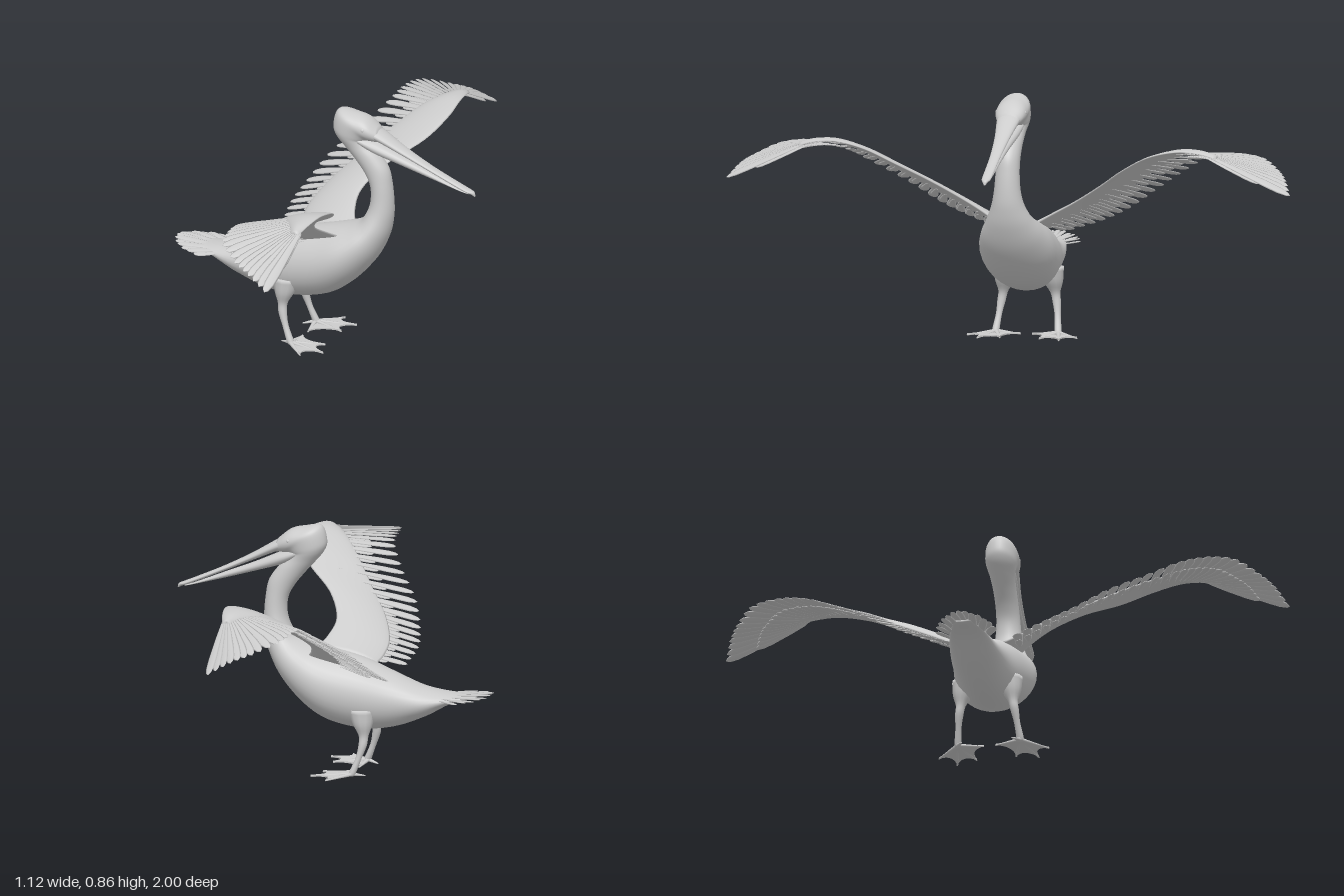
import * as THREE from 'three';

const grey = new THREE.MeshStandardMaterial({ color: 0xcccccc, side: THREE.DoubleSide });
const V = (x, y, z) => new THREE.Vector3(x, y, z);
const curve = (pts) => new THREE.CatmullRomCurve3(pts.map((p) => V(...p)), false, 'catmullrom', 0.5);

function add(parent, name, geometry) {
  const mesh = new THREE.Mesh(geometry, grey);
  mesh.name = name;
  parent.add(mesh);
  return mesh;
}

// Skin of elliptical rings: frame(u) gives centre c and half axes a, b
function loft(n, m, frame, camber = 0) {
  const pos = [], index = [];
  for (let i = -1; i <= n + 1; i++) {
    const { c, a, b } = frame(THREE.MathUtils.clamp(i / n, 0, 1));
    const k = i < 0 || i > n ? 0 : 1; // collapsed end rings close the shape
    for (let j = 0; j < m; j++) {
      const t = (j / m) * Math.PI * 2, s = Math.sin(t);
      const p = c.clone().addScaledVector(a, k * Math.cos(t)).addScaledVector(b, k * s);
      p.y += camber * s * s;
      pos.push(p.x, p.y, p.z);
    }
  }
  for (let i = 0; i < n + 2; i++) {
    for (let j = 0; j < m; j++) {
      const p = i * m + j, q = i * m + ((j + 1) % m);
      index.push(p, q, p + m, q, q + m, p + m);
    }
  }
  const g = new THREE.BufferGeometry();
  g.setAttribute('position', new THREE.Float32BufferAttribute(pos, 3));
  g.setIndex(index);
  g.computeVertexNormals();
  return g;
}

// Rows of [topX, topY, bottomX, bottomY, halfWidth], symmetric about z = 0
function sideLoft(rows, n, m) {
  const top = curve(rows.map((r) => [r[0], r[1], r[4]]));
  const bottom = curve(rows.map((r) => [r[2], r[3], r[4]]));
  return loft(n, m, (u) => {
    const p = top.getPoint(u), q = bottom.getPoint(u), w = p.z;
    p.z = q.z = 0;
    return { c: p.clone().add(q).multiplyScalar(0.5), a: p.sub(q).multiplyScalar(0.5), b: V(0, 0, w) };
  });
}

const featherShape = new THREE.LatheGeometry(
  [[0, 0], [0.3, 0], [0.7, 0.3], [1, 0.7], [0.95, 0.86], [0.6, 0.96], [0, 1]].map((p) => new THREE.Vector2(...p)), 8);

// Flat feather from base to tip, spread along the span direction
function feather(parent, name, base, tip, span, width) {
  const y = tip.clone().sub(base), len = y.length();
  y.normalize();
  const x = span.clone().addScaledVector(y, -span.dot(y)).normalize();
  const z = x.clone().cross(y);
  x.addScaledVector(z, 0.18).normalize(); // tilt so that neighbours overlap
  z.crossVectors(x, y);
  const mtx = new THREE.Matrix4().makeBasis(x.multiplyScalar(width), y.multiplyScalar(len), z.multiplyScalar(0.003));
  add(parent, name, featherShape).applyMatrix4(mtx.setPosition(base));
}

function makeWing() {
  const wing = new THREE.Group();
  // Arm surface: [z, leadingX, leadingY, trailingX, trailingY]
  const rows = [
    [0.06, 0.09, 0.41, -0.13, 0.37], [0.12, 0.06, 0.445, -0.14, 0.385], [0.2, 0.05, 0.49, -0.14, 0.42],
    [0.3, 0.1, 0.555, -0.1, 0.48], [0.4, 0.2, 0.625, -0.03, 0.55], [0.5, 0.245, 0.68, 0.04, 0.62],
    [0.6, 0.245, 0.703, 0.11, 0.675], [0.68, 0.235, 0.698, 0.16, 0.688], [0.74, 0.22, 0.68, 0.19, 0.678]];
  const lead = curve(rows.map((r) => [r[1], r[2], r[0]]));
  const trail = curve(rows.map((r) => [r[3], r[4], r[0]]));
  add(wing, 'wingArm', loft(40, 20, (u) => {
    const p = lead.getPoint(u), q = trail.getPoint(u);
    return { c: p.clone().add(q).multiplyScalar(0.5), a: p.sub(q).multiplyScalar(0.5), b: V(0, 0.013 - 0.008 * u, 0) };
  }, 0.008));

  // Flight feathers run between two matched curves
  const bases = curve([[-0.04, 0.4, 0.1], [-0.05, 0.45, 0.2], [-0.02, 0.505, 0.28], [0.06, 0.575, 0.36],
    [0.12, 0.64, 0.46], [0.16, 0.68, 0.57], [0.175, 0.69, 0.63], [0.19, 0.692, 0.66], [0.2, 0.692, 0.69],
    [0.21, 0.69, 0.71], [0.22, 0.688, 0.72]]);
  const tips = curve([[-0.22, 0.355, 0.13], [-0.235, 0.39, 0.24], [-0.215, 0.44, 0.34], [-0.175, 0.51, 0.44],
    [-0.1, 0.585, 0.55], [-0.045, 0.65, 0.66], [-0.035, 0.665, 0.76], [-0.015, 0.655, 0.86], [0.06, 0.625, 0.93],
    [0.13, 0.6, 0.97], [0.205, 0.56, 1]]);
  const count = 32;
  for (let i = 0; i < count; i++) {
    const t = i / (count - 1);
    const base = bases.getPoint(t), tip = tips.getPoint(t), span = tips.getTangent(t);
    feather(wing, 'flightFeather', base, tip, span, 0.018);
    // Shorter coverts beneath
    const drop = V(0, -0.01, 0);
    feather(wing, 'underCovert', base.clone().add(drop), base.clone().lerp(tip, 0.62).add(drop), span, 0.014);
  }
  return wing;
}

function makeLeg() {
  const leg = new THREE.Group();
  // Shin: [x, y, z, radius] from thigh to ankle
  const rows = [[-0.11, 0.24, 0.075, 0.05], [-0.115, 0.19, 0.085, 0.036], [-0.12, 0.15, 0.092, 0.018],
    [-0.118, 0.115, 0.098, 0.015], [-0.105, 0.07, 0.104, 0.011], [-0.085, 0.02, 0.11, 0.013], [-0.08, 0.008, 0.11, 0.012]];
  const path = curve(rows), radius = curve(rows.map((r) => [r[3], 0, 0]));
  add(leg, 'shin', loft(24, 12, (u) => {
    const r = radius.getPoint(u).x;
    return { c: path.getPoint(u), a: V(0, 0, r), b: V(r, 0, 0) };
  }));
  // Toes and scalloped web: tips as [x, z]
  const heel = [-0.085, 0.11];
  const toes = [[-0.01, 0.195], [0.055, 0.145], [0.03, 0.07], [-0.075, 0.02]];
  const web = new THREE.Shape();
  web.moveTo(...heel);
  toes.forEach(([x, z], i) => {
    if (i === 0) web.lineTo(x, z);
    else {
      const mx = (x + toes[i - 1][0]) / 2, mz = (z + toes[i - 1][1]) / 2;
      web.quadraticCurveTo(mx + (heel[0] - mx) * 0.5, mz + (heel[1] - mz) * 0.5, x, z);
    }
  });
  const webGeo = new THREE.ExtrudeGeometry(web, { depth: 0.005, bevelEnabled: false });
  add(leg, 'footWeb', webGeo.rotateX(Math.PI / 2).translate(0, 0.012, 0));
  [...toes, [-0.125, 0.09]].forEach(([x, z]) => {
    const from = V(heel[0], 0.014, heel[1]), to = V(x, 0.006, z);
    add(leg, 'toe', loft(8, 8, (u) => {
      const r = 0.01 - 0.007 * u, d = to.clone().sub(from).normalize(), side = V(-d.z, 0, d.x).normalize();
      return { c: from.clone().lerp(to, u), a: V(0, r * 0.7, 0), b: side.multiplyScalar(r) };
    }));
  });
  return leg;
}

export function createModel() {
  const bird = new THREE.Group();
  bird.name = 'bird';

  // Body, neck and head in one skin
  add(bird, 'body', sideLoft([
    [-0.5, 0.294, -0.5, 0.285, 0.03], [-0.42, 0.295, -0.42, 0.265, 0.062], [-0.31, 0.315, -0.32, 0.21, 0.085],
    [-0.2, 0.36, -0.21, 0.168, 0.1], [-0.1, 0.4, -0.1, 0.156, 0.12], [0, 0.425, 0.02, 0.18, 0.132],
    [0.06, 0.44, 0.11, 0.237, 0.13], [0.11, 0.455, 0.19, 0.325, 0.108], [0.145, 0.475, 0.235, 0.41, 0.08],
    [0.165, 0.51, 0.253, 0.48, 0.058], [0.175, 0.55, 0.256, 0.54, 0.047], [0.172, 0.6, 0.25, 0.61, 0.042],
    [0.15, 0.645, 0.238, 0.665, 0.04], [0.115, 0.69, 0.205, 0.712, 0.04], [0.075, 0.735, 0.175, 0.74, 0.043],
    [0.043, 0.775, 0.16, 0.757, 0.05], [0.034, 0.812, 0.163, 0.76, 0.054], [0.053, 0.864, 0.175, 0.763, 0.056],
    [0.11, 0.86, 0.19, 0.763, 0.055], [0.16, 0.847, 0.2, 0.763, 0.049], [0.205, 0.812, 0.215, 0.763, 0.034]], 120, 32));

  // Bill: hooked upper half over a pouched lower half
  add(bird, 'upperBill', sideLoft([
    [0.16, 0.828, 0.13, 0.785, 0.045], [0.21, 0.806, 0.2, 0.768, 0.04], [0.3, 0.752, 0.29, 0.73, 0.027],
    [0.4, 0.7, 0.395, 0.684, 0.019], [0.5, 0.655, 0.495, 0.641, 0.017], [0.54, 0.638, 0.535, 0.625, 0.016],
    [0.56, 0.629, 0.55, 0.62, 0.01], [0.565, 0.614, 0.56, 0.614, 0.003]], 48, 20));
  add(bird, 'lowerBill', sideLoft([
    [0.13, 0.785, 0.13, 0.75, 0.042], [0.2, 0.762, 0.19, 0.72, 0.037], [0.29, 0.722, 0.28, 0.692, 0.024],
    [0.4, 0.678, 0.39, 0.66, 0.016], [0.5, 0.637, 0.5, 0.63, 0.012], [0.54, 0.623, 0.54, 0.62, 0.006]], 40, 20));

  // Tail fan, alternating between two heights
  for (let i = -6; i <= 6; i++) {
    const a = (i / 6) * 1.2;
    const lift = i % 2 ? 0.006 : 0;
    feather(bird, 'tailFeather', V(-0.36, 0.278 + lift, i * 0.007),
      V(-0.39 - 0.17 * Math.cos(a), 0.302 - 0.022 * Math.abs(i / 6) + lift * 0.3, 0.11 * Math.sin(a)), V(0, 0, -1), 0.016);
  }

  // Paired parts, mirrored across z
  for (const s of [1, -1]) {
    const side = s > 0 ? 'near' : 'far';
    const wing = makeWing(), leg = makeLeg();
    wing.name = side + 'Wing';
    leg.name = side + 'Leg';
    wing.scale.z = leg.scale.z = s;
    bird.add(wing, leg);
    add(bird, side + 'Eye', new THREE.SphereGeometry(0.009, 16, 12)).position.set(0.16, 0.812, s * 0.046);
  }
  return bird;
}
